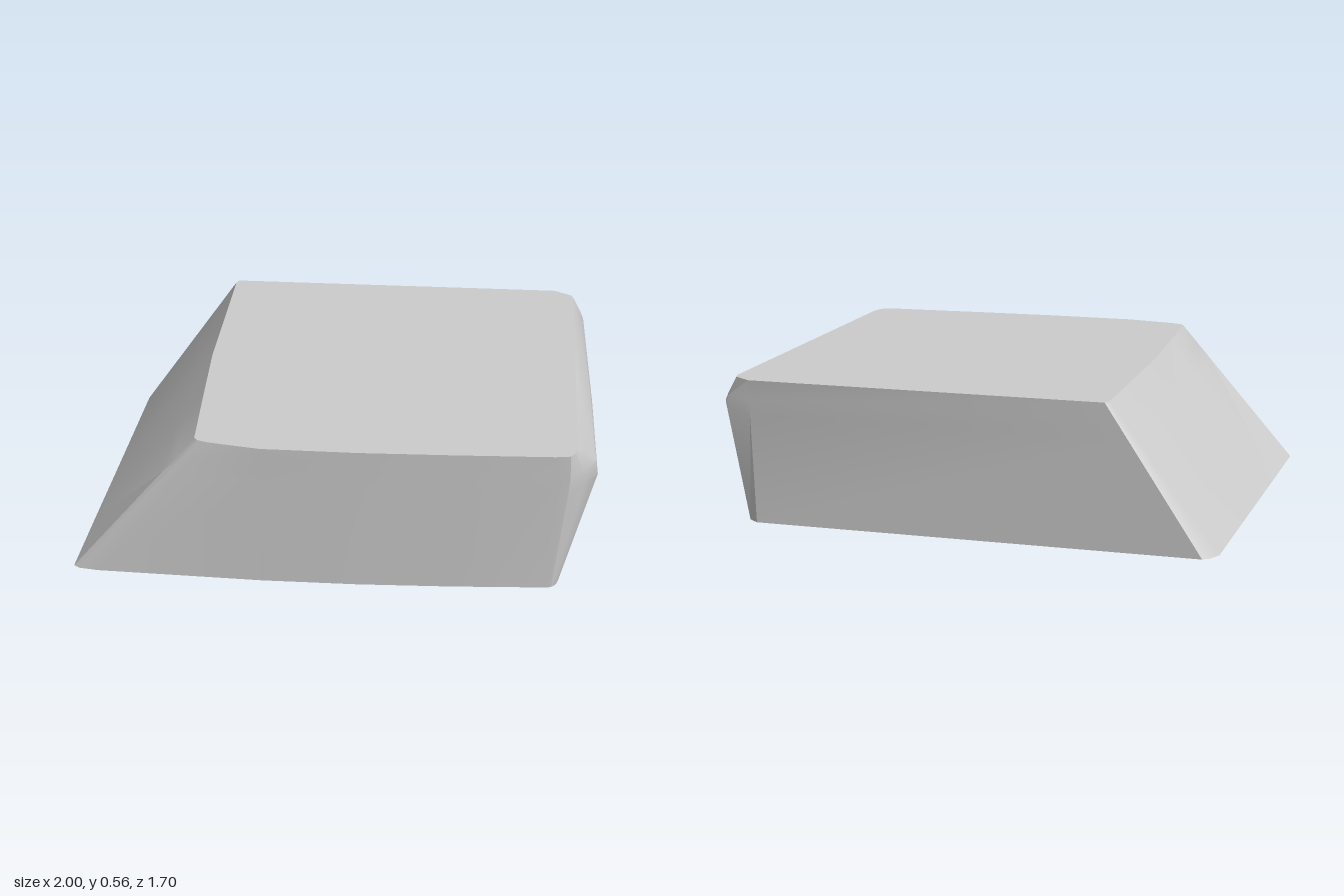
import * as THREE from 'three';
import { toCreasedNormals } from 'three/addons/utils/BufferGeometryUtils.js';

// Columns run counter-clockwise seen from above: bottom [x, z], top [x, z],
// then optional lower and upper ridge points [x, y, z] for the bulging right side.
const HEIGHT = 0.56;
const COLUMNS = [
  // front, left to right
  [[-1, 0.79], [-0.515, 0.775]],
  [[-0.975, 0.808], [-0.5, 0.795]],
  [[-0.9, 0.82], [-0.46, 0.81]],
  [[-0.26, 0.842], [-0.26, 0.848]],
  [[0.1, 0.84], [0.1, 0.85]],
  [[0.45, 0.825], [0.45, 0.838]],
  [[0.815, 0.8], [0.83, 0.82]],
  // front right corner
  [[0.835, 0.795], [0.885, 0.81], [0.882, 0.4, 0.805], [0.888, 0.47, 0.808]],
  [[0.852, 0.775], [0.9, 0.785], [0.945, 0.41, 0.725], [0.94, 0.47, 0.74]],
  // right side, front to back
  [[0.86, 0.75], [0.91, 0.74], [0.995, 0.4, 0.62], [0.985, 0.465, 0.65]],
  [[0.86, 0], [0.91, 0], [0.983, 0.425, 0], [0.97, 0.48, 0]],
  [[0.86, -0.77], [0.91, -0.77], [0.957, 0.46, -0.78], [0.945, 0.49, -0.78]],
  // back right corner
  [[0.85, -0.82], [0.9, -0.8], [0.94, 0.46, -0.815], [0.93, 0.49, -0.81]],
  [[0.81, -0.85], [0.83, -0.85]],
  // back left corner and sloping left side
  [[-0.94, -0.85], [-0.57, -0.85]],
  [[-0.965, -0.83], [-0.578, -0.84]],
  [[-0.99, -0.78], [-0.582, -0.825]],
  [[-0.995, 0], [-0.565, 0]],
  [[-0.998, 0.4], [-0.54, 0.4]],
];

// Expand a column to four stacked points, straight unless a ridge is given.
function expand([b, t, low, high]) {
  const at = (f) => [b[0] + (t[0] - b[0]) * f, HEIGHT * f, b[1] + (t[1] - b[1]) * f];
  return [at(0), low ?? at(0.75), high ?? at(0.86), at(1)];
}

function wedgeGeometry() {
  const cols = COLUMNS.map(expand);
  const n = cols.length;
  const rows = 4;
  const positions = cols.flat(2);
  const index = [];
  // centre points of the flat bottom and top
  const bottom = n * rows;
  positions.push(0, 0, 0, 0.15, HEIGHT, 0);
  for (let i = 0; i < n; i++) {
    const a = i * rows;
    const b = ((i + 1) % n) * rows;
    for (let r = 0; r < rows - 1; r++) {
      index.push(a + r, b + r, b + r + 1, a + r, b + r + 1, a + r + 1);
    }
    index.push(bottom, b, a, bottom + 1, a + rows - 1, b + rows - 1);
  }
  const geometry = new THREE.BufferGeometry();
  geometry.setAttribute('position', new THREE.Float32BufferAttribute(positions, 3));
  geometry.setIndex(index);
  return toCreasedNormals(geometry, 0.55);
}

export function createModel() {
  const group = new THREE.Group();
  group.name = 'wedgeBlock';
  const body = new THREE.Mesh(
    wedgeGeometry(),
    new THREE.MeshStandardMaterial({ color: 0xcccccc })
  );
  body.name = 'body';
  group.add(body);
  return group;
}
